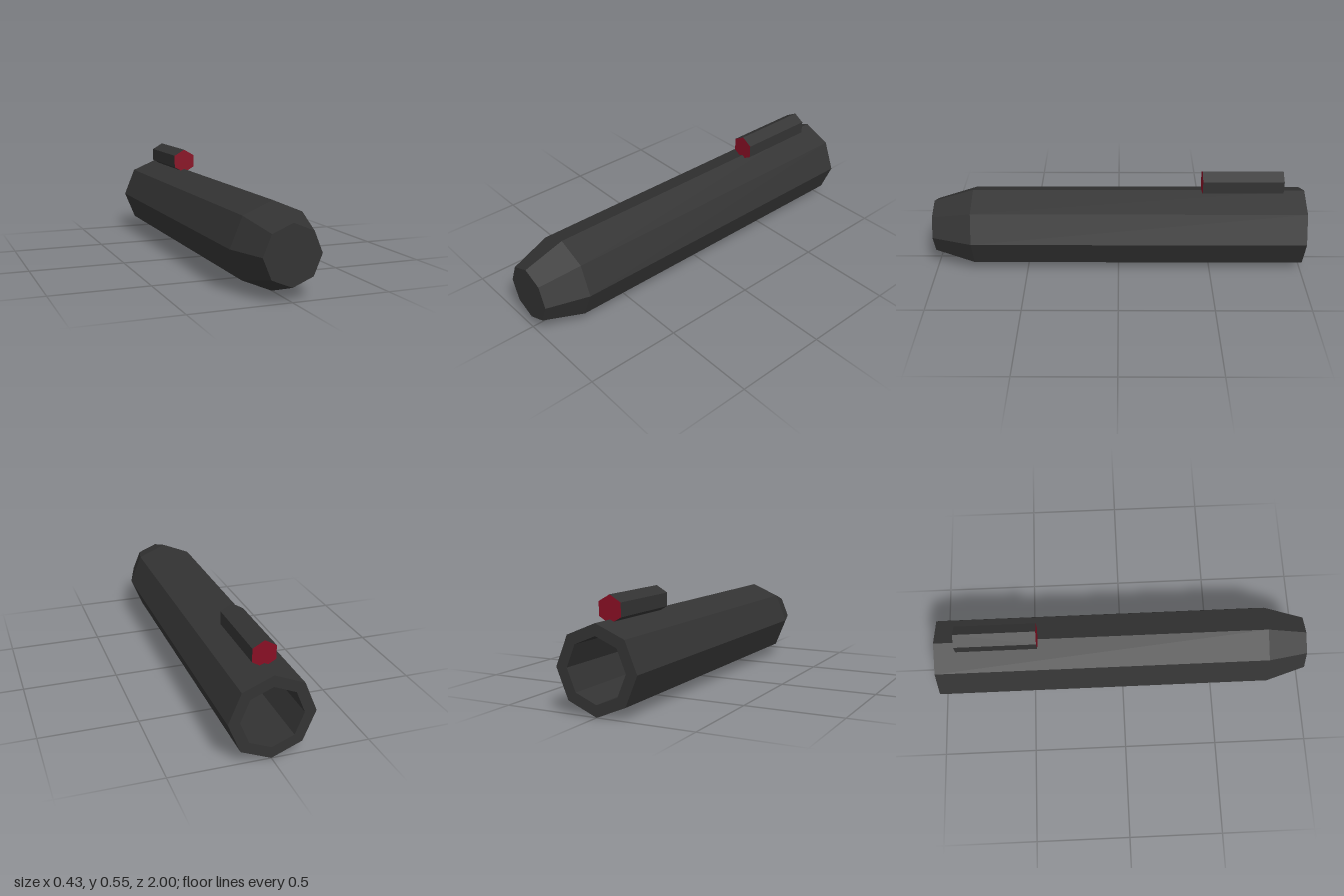
import * as THREE from 'three';

const black = new THREE.MeshStandardMaterial({ color: 0x333333 });
black.name = 'matte black';
const red = new THREE.MeshStandardMaterial({ color: 0x880f24 });
red.name = 'dark red';

// Lay an upright geometry along z and give it hard facets
function facet(geometry) {
  const flat = geometry.rotateX(Math.PI / 2).toNonIndexed();
  flat.computeVertexNormals();
  return flat;
}

export function createModel() {
  const group = new THREE.Group();
  group.name = 'tubeWithSight';

  // Eight-sided barrel: closed tapered nose in front, deep bore open at the back
  const profile = [
    [0, 0.78], [0.157, 0.78], [0.157, -1], [0.215, -1],
    [0.215, 0.785], [0.147, 1], [0, 1],
  ].map(([r, z]) => new THREE.Vector2(r, z));
  const barrel = new THREE.Mesh(facet(new THREE.LatheGeometry(profile, 8)), black);
  barrel.name = 'barrel';
  barrel.position.y = 0.215;
  group.add(barrel);

  // Six-sided sight with red end faces
  const sight = new THREE.Mesh(
    facet(new THREE.CylinderGeometry(0.068, 0.068, 0.43, 6)),
    [black, red, red],
  );
  sight.name = 'sight';
  sight.position.set(0, 0.477, -0.663);
  group.add(sight);

  return group;
}
